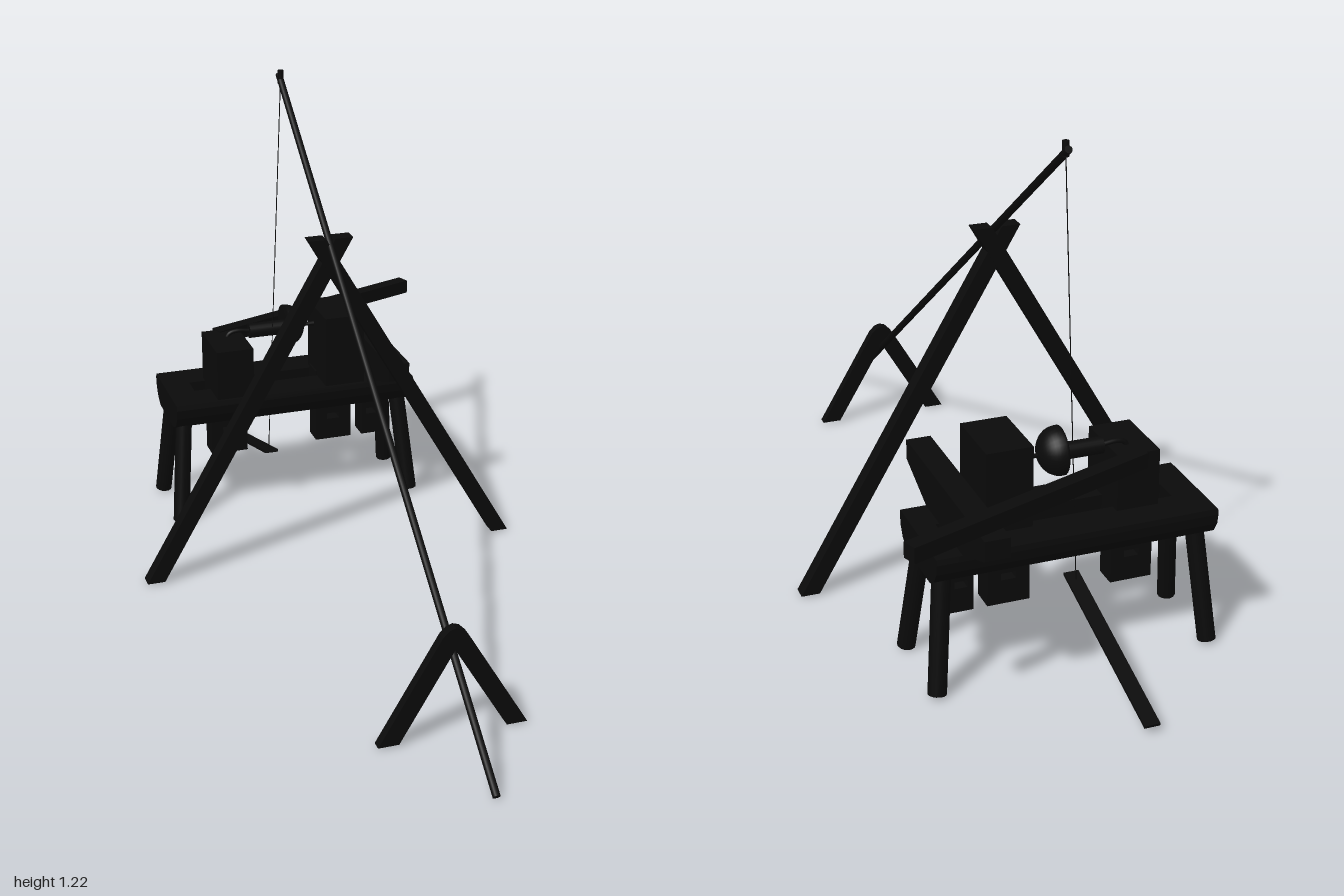
import * as THREE from 'three';

const ZC = -0.597; // centre line of the bench

export function createModel() {
  const model = new THREE.Group();
  const mat = new THREE.MeshStandardMaterial({ color: 0x0a0a0a });

  const add = (name, geo) => {
    const mesh = new THREE.Mesh(geo, mat);
    mesh.name = name;
    model.add(mesh);
    return mesh;
  };
  const box = (name, x0, x1, y0, y1, z0, z1) =>
    add(name, new THREE.BoxGeometry(x1 - x0, y1 - y0, z1 - z0))
      .position.set((x0 + x1) / 2, (y0 + y1) / 2, (z0 + z1) / 2);
  // Round bar between two points
  const rod = (name, a, b, r0, r1 = r0, sides = 12) => {
    const p = new THREE.Vector3(...a), q = new THREE.Vector3(...b);
    const dir = q.clone().sub(p);
    const mesh = add(name, new THREE.CylinderGeometry(r1, r0, dir.length(), sides));
    mesh.position.copy(p).add(q).multiplyScalar(0.5);
    mesh.quaternion.setFromUnitVectors(new THREE.Vector3(0, 1, 0), dir.normalize());
    return mesh;
  };
  const outline = pts => new THREE.Shape(pts.map(p => new THREE.Vector2(...p)));
  // Outline in x,y given depth around z
  const slab = (name, shape, z, depth) => {
    const geo = new THREE.ExtrudeGeometry(shape, { depth, bevelEnabled: false });
    return add(name, geo.translate(0, 0, z - depth / 2));
  };
  // Outline in (z offset, y) run along x from x0 to x1
  const along = (name, pts, x0, x1) => {
    const shape = outline(pts.map(([z, y]) => [-z, y]));
    const geo = new THREE.ExtrudeGeometry(shape, { depth: x1 - x0, bevelEnabled: false });
    return add(name, geo.rotateY(Math.PI / 2).translate(x0, 0, ZC));
  };

  // Springy pole and its tip
  rod('springPole', [0, 0.003, 0.99], [0, 1.2, -0.608], 0.009);
  rod('poleTipPeg', [0, 1.18, -0.592], [0, 1.215, -0.592], 0.008);

  // Tall crossed frame under the pole
  for (const s of [1, -1]) {
    slab('tallFrameLeg', outline([
      [-s * 0.501, 0], [-s * 0.455, 0], [s * 0.058, 0.888], [s * 0.012, 0.888],
    ]), -0.18 - s * 0.0005, 0.038);
  }

  // Small forked prop with a rounded top
  const fork = [[-0.18, 0], [-0.13, 0], [0, 0.22], [0.13, 0], [0.18, 0],
    [0.03, 0.255], [0.015, 0.27], [0, 0.275], [-0.015, 0.27], [-0.03, 0.255]];
  slab('forkedProp', outline(fork), 0.722, 0.024);

  // Half-log bench with a long slot
  const half = [[0.122, 0.348], [0.125, 0.335], [0.121, 0.31], [0.106, 0.285], [0.08, 0.269]];
  const full = [...half, ...half.map(([z, y]) => [-z, y]).reverse()];
  along('benchEnd', full, -0.337, -0.265);
  along('benchEnd', full, 0.285, 0.337);
  for (const s of [1, -1]) {
    const rail = [[0.03, 0.348], ...half, [0.03, 0.269]];
    along('benchRail', rail.map(([z, y]) => [s * z, y]), -0.265, 0.285);
  }

  // Splayed bench legs
  for (const sx of [1, -1]) for (const sz of [1, -1]) {
    rod('benchLeg', [sx * 0.332, 0.002, ZC + sz * 0.108],
      [sx * 0.302, 0.33, ZC + sz * 0.06], 0.022, 0.022, 14);
  }

  // Tenons with wedge holes, passing down through the slot
  const tenon = (name, x0, x1, hole) => {
    const shape = outline([[x0, 0.15], [x1, 0.15], [x1, 0.36], [x0, 0.36]]);
    const c = (x0 + x1) / 2, w = hole / 2;
    shape.holes.push(new THREE.Path([
      [c - w, 0.21], [c - w, 0.227], [c + w, 0.227], [c + w, 0.21],
    ].map(p => new THREE.Vector2(...p))));
    slab(name, shape, ZC, 0.058);
  };
  tenon('leftPoppetTenon', -0.22, -0.118, 0.036);
  tenon('rightPoppetTenon', 0.082, 0.184, 0.036);
  tenon('restTenon', 0.217, 0.276, 0.03);

  // Poppet heads
  box('rightPoppet', 0.086, 0.197, 0.348, 0.545, -0.65, -0.485);
  box('leftPoppet', -0.22, -0.118, 0.348, 0.485, -0.65, -0.485);

  // Cross arm that carries the tool rest
  along('restArm', [[0.258, 0.45], [0.258, 0.402], [0.12, 0.348],
    [-0.12, 0.348], [-0.253, 0.402], [-0.253, 0.45]], 0.217, 0.276);

  // Slanted tool rest
  const rest = add('toolRest', new THREE.BoxGeometry(0.666, 0.037, 0.036));
  rest.position.set(0.134, 0.469, -0.757);
  rest.rotation.y = Math.atan2(0.225, 0.627);

  // Mandrel and the round bowl being turned
  rod('mandrel', [-0.1, 0.493, ZC], [0.005, 0.493, ZC], 0.02, 0.02, 20);
  const bowl = [[0, 0], [0.057, 0], [0.057, 0.006]];
  for (let i = 1; i <= 10; i++) {
    const a = i / 10 * Math.PI / 2;
    bowl.push([0.057 * Math.cos(a), 0.006 + 0.05 * Math.sin(a)]);
  }
  const bowlMesh = add('bowl', new THREE.LatheGeometry(
    bowl.map(([r, y]) => new THREE.Vector2(Math.max(r, 0), y)), 28));
  bowlMesh.rotation.z = -Math.PI / 2;
  bowlMesh.position.set(0, 0.497, ZC);

  // Iron centres: a bent one on the left, a straight one on the right
  const bend = new THREE.CatmullRomCurve3([
    [-0.165, 0.475], [-0.155, 0.492], [-0.135, 0.497], [-0.095, 0.493],
  ].map(([x, y]) => new THREE.Vector3(x, y, ZC)));
  add('leftCentre', new THREE.TubeGeometry(bend, 16, 0.006, 8));
  rod('rightCentre', [0.09, 0.493, ZC], [0.05, 0.493, ZC], 0.007, 0.004);

  // Cord from the pole tip down to the treadle
  rod('cord', [0, 1.2, -0.592], [-0.055, 0.143, -0.575], 0.0013, 0.0013, 6);

  // Treadle board
  const treadle = add('treadle', new THREE.BoxGeometry(0.037, 0.007, 0.473));
  treadle.position.set(-0.055, 0.08, -0.772);
  treadle.rotation.x = -Math.atan2(0.13, 0.455);

  return model;
}
